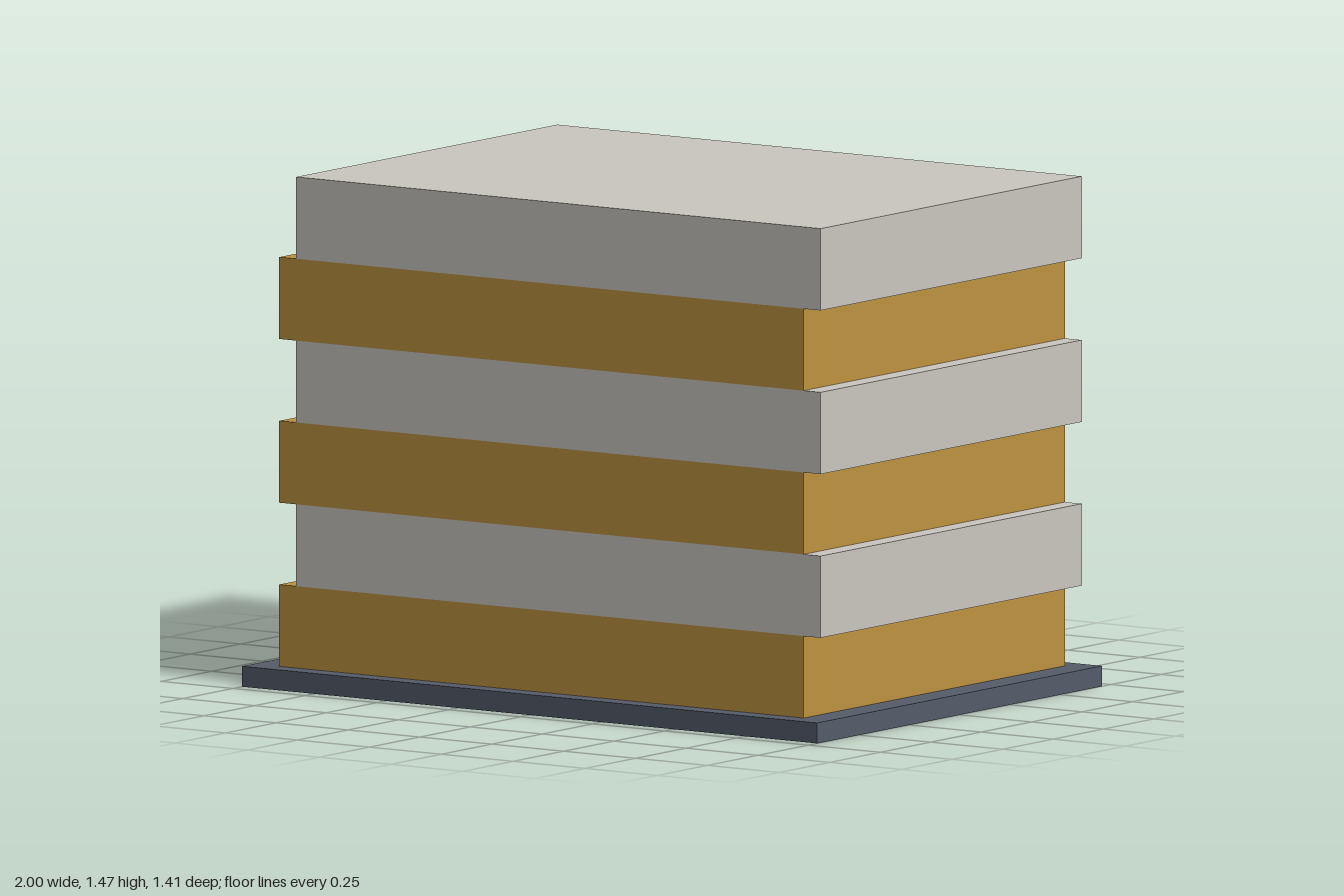
import * as THREE from 'three';

const U = 1 / 17; // modelling unit

function slab(name, w, h, d, x, bottom, material) {
  const mesh = new THREE.Mesh(new THREE.BoxGeometry(w * U, h * U, d * U), material);
  mesh.name = name;
  mesh.position.set(x * U, (bottom + h / 2) * U, 0);
  return mesh;
}

function flat(name, color) {
  const material = new THREE.MeshStandardMaterial({ color });
  material.name = name;
  return material;
}

export function createModel() {
  const group = new THREE.Group();
  group.name = 'stackedBlocks';

  const slate = flat('slate', 0x555c69);
  const ochre = flat('ochre', 0xbd9340);
  const stone = flat('stone', 0xcac6bf);

  // Thin base plate
  group.add(slab('basePlate', 34, 1, 24, 0, 0, slate));

  // Six alternating layers, every second one shifted to the left
  for (let i = 0; i < 6; i++) {
    const shifted = i % 2 === 1;
    group.add(slab(
      `${shifted ? 'stone' : 'ochre'}Layer${i + 1}`,
      31, 4, 22, shifted ? 1 : 0, 1 + i * 4, shifted ? stone : ochre,
    ));
  }
  return group;
}
